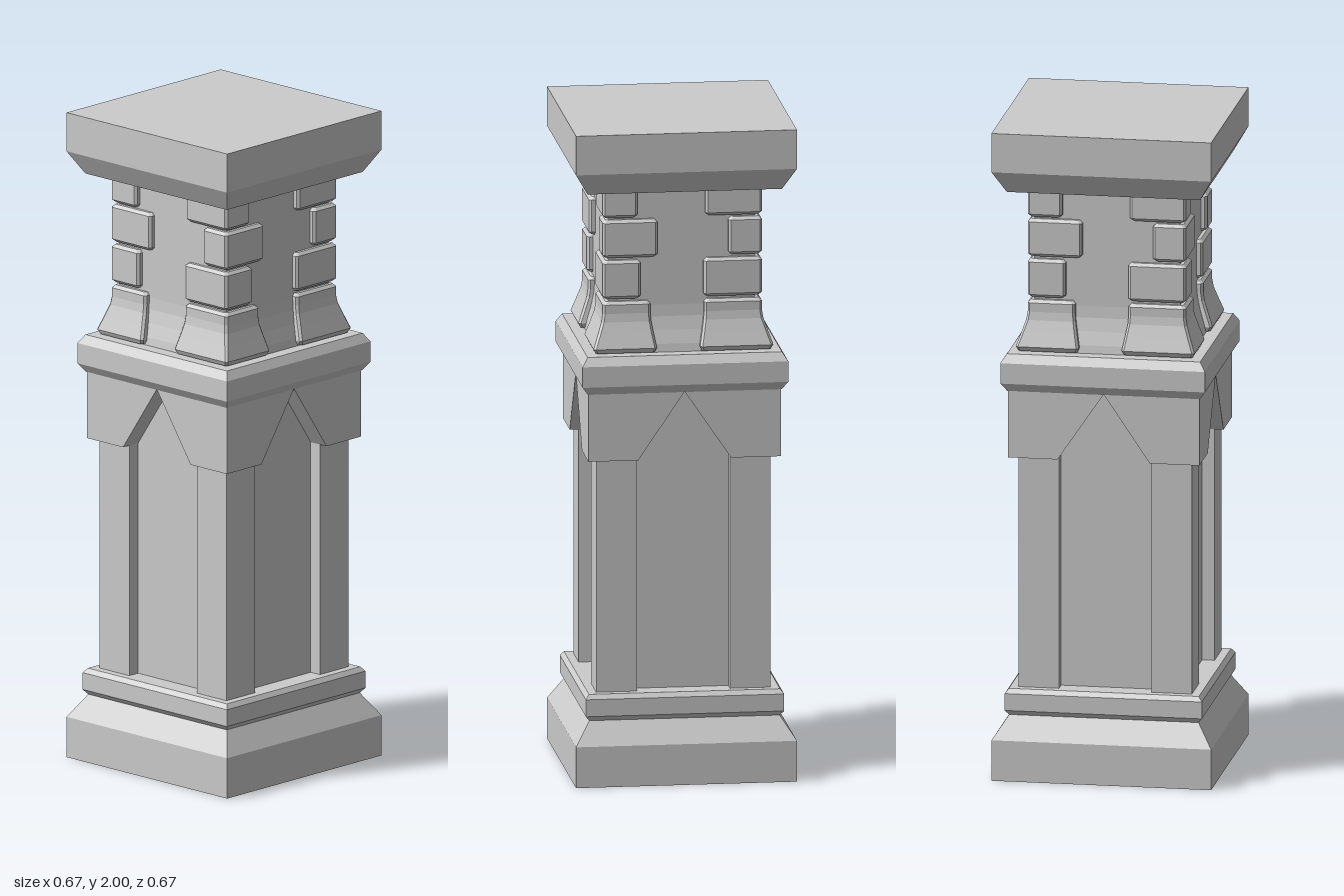
import * as THREE from 'three';

const material = new THREE.MeshStandardMaterial({ color: 0xcccccc, flatShading: true, side: THREE.DoubleSide });

// Skins a stack of plan outlines, each { y, pts: [[x, z], ...] }, from bottom to top
function loft(name, rings) {
  const pos = [];
  for (let j = 0; j < rings.length - 1; j++) {
    const lo = rings[j], hi = rings[j + 1], n = lo.pts.length;
    for (let i = 0; i < n; i++) {
      const k = (i + 1) % n;
      const corner = (r, m) => [r.pts[m][0], r.y, r.pts[m][1]];
      const a = corner(lo, i), b = corner(lo, k), c = corner(hi, k), d = corner(hi, i);
      pos.push(...a, ...b, ...c, ...a, ...c, ...d);
    }
  }
  const geo = new THREE.BufferGeometry();
  geo.setAttribute('position', new THREE.Float32BufferAttribute(pos, 3));
  geo.computeVertexNormals();
  const mesh = new THREE.Mesh(geo, material);
  mesh.name = name;
  return mesh;
}

// Square moulding from a profile of [half width, y]
function moulding(name, profile) {
  return loft(name, profile.map(([h, y]) => ({ y, pts: [[-h, h], [h, h], [h, -h], [-h, -h]] })));
}

// Square plan with a recessed panel in each side
function panelledPlan(half, panelHalf, panelDepth) {
  const pts = [];
  let side = [[-half, half], [-panelHalf, half], [-panelHalf, panelDepth], [panelHalf, panelDepth], [panelHalf, half]];
  for (let k = 0; k < 4; k++) {
    pts.push(...side);
    side = side.map(([x, z]) => [z, -x]);
  }
  return pts;
}

// Bevelled corner stone; x0 and z0 are its inner ends, profile is [outer half, y, end inset]
function cornerStone(x0, z0, profile) {
  const c = 0.007, m = 0.15;
  const rings = profile.map(([o, y, e]) => {
    const x = x0 + e, z = z0 + e;
    return {
      y,
      pts: [[x, m], [x, o - c], [x + c, o], [o - c, o], [o, o - c], [o, z + c], [o - c, z], [m, z]],
    };
  });
  const point = (y) => ({ y, pts: rings[0].pts.map(() => [m, m]) });
  const last = rings.length - 1;
  return loft('cornerStone', [point(rings[0].y), ...rings, point(rings[last].y)]);
}

// Half of a pointed arch head on the front side
function archHalf(sign) {
  const shape = new THREE.Shape(
    [[0.14, 0.99], [0.29, 0.99], [0.29, 1.197], [0, 1.197]].map(([x, y]) => new THREE.Vector2(sign * x, y)));
  const geo = new THREE.ExtrudeGeometry(shape, { depth: 0.07, bevelEnabled: false });
  geo.translate(0, 0, 0.22);
  const mesh = new THREE.Mesh(geo, material);
  mesh.name = 'archSpandrel';
  return mesh;
}

export function createModel() {
  const model = new THREE.Group();
  model.name = 'pillar';

  // Hollow plinth with its rounded collar, open underneath
  model.add(moulding('base', [
    [0.333, 0], [0.333, 0.125], [0.287, 0.195], [0.299, 0.21], [0.299, 0.262], [0.288, 0.276], [0.22, 0.276],
  ]));

  // Shaft with recessed panels between corner posts
  const plan = panelledPlan(0.263, 0.14, 0.225);
  model.add(loft('shaft', [{ y: 0.27, pts: plan }, { y: 1.2, pts: plan }]));

  // Collar above the arches
  model.add(moulding('middleCollar', [
    [0.2, 1.196], [0.292, 1.196], [0.31, 1.222], [0.31, 1.285], [0.293, 1.311], [0.2, 1.311],
  ]));

  // Neck, flaring at its foot
  model.add(moulding('neck', [
    [0.252, 1.308], [0.247, 1.335], [0.234, 1.375], [0.224, 1.415], [0.221, 1.45], [0.221, 1.815],
  ]));

  // Cap slab
  model.add(moulding('cap', [
    [0.18, 1.811], [0.293, 1.811], [0.333, 1.88], [0.333, 2], [0, 2],
  ]));

  // Stone rows: inner ends on the two faces, bottom and top
  const rows = [
    [0.07, 0.135, 1.722, 1.812],
    [0.14, 0.075, 1.6, 1.716],
    [0.065, 0.125, 1.474, 1.592],
  ];
  const b = 0.009;
  for (let k = 0; k < 4; k++) {
    const side = new THREE.Group();
    side.name = 'side';
    side.rotation.y = k * Math.PI / 2;
    side.add(archHalf(1), archHalf(-1));
    for (const [x0, z0, y0, y1] of rows) {
      side.add(cornerStone(x0, z0, [[0.24 - b, y0, b], [0.24, y0 + b, 0], [0.24, y1 - b, 0], [0.24 - b, y1, b]]));
    }
    // Flared foot stone
    side.add(cornerStone(0.05, 0.08, [
      [0.264, 1.314, 0.006], [0.271, 1.328, 0], [0.256, 1.37, 0.008], [0.244, 1.405, 0.014],
      [0.24, 1.43, 0.016], [0.24, 1.457, 0.016], [0.231, 1.466, 0.024],
    ]));
    model.add(side);
  }
  return model;
}
